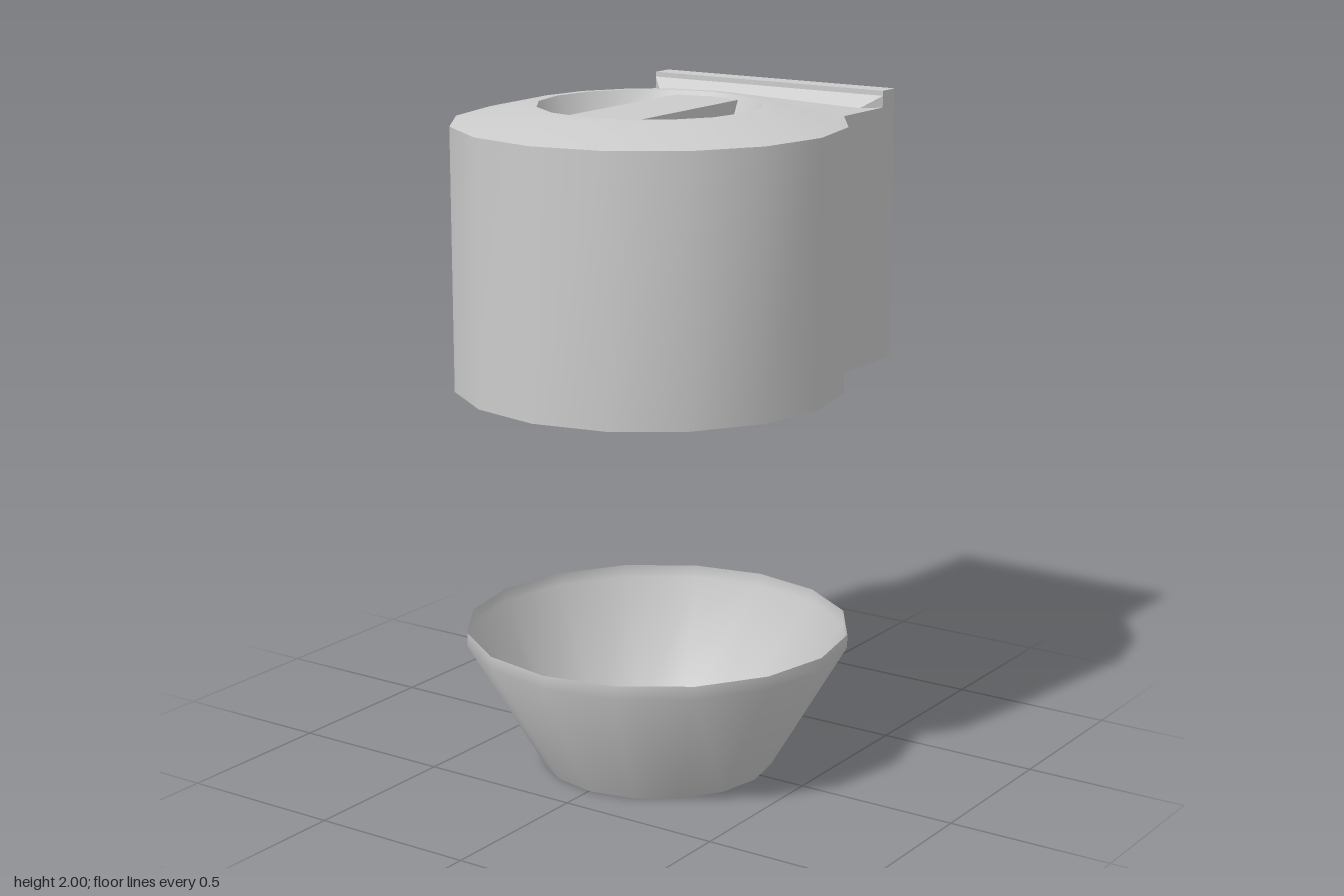
import * as THREE from 'three';
import { toCreasedNormals } from 'three/addons/utils/BufferGeometryUtils.js';
import { ConvexGeometry } from 'three/addons/geometries/ConvexGeometry.js';

const SIDES = 16;
const CX = -0.008, CZ = 0.06; // axis of the upper housing
const FLOOR = 1.93, DECK = 1.95, TOP = 2;

const material = new THREE.MeshStandardMaterial({ color: 0xcccccc });
const openMaterial = new THREE.MeshStandardMaterial({ color: 0xcccccc, side: THREE.DoubleSide });

function add(group, name, geometry, mat = material) {
  const mesh = new THREE.Mesh(geometry, mat);
  mesh.name = name;
  group.add(mesh);
  return mesh;
}

// Regular ring of points around the housing axis
function ring(r, y) {
  return Array.from({ length: SIDES }, (_, i) => {
    const a = (i / SIDES) * Math.PI * 2;
    return new THREE.Vector3(CX + r * Math.sin(a), y, CZ + r * Math.cos(a));
  });
}

// Round outline whose rear three points are pulled back into a square block
function outline(y, halfWidth, backZ) {
  const points = ring(0.577, y);
  [1, 0, -1].forEach((s, k) => points[7 + k].set(CX + s * halfWidth, y, backZ));
  return points;
}

// Skin consecutive rings, leaving out collapsed triangles
function loft(rings) {
  const out = [];
  const tri = (a, b, c) => {
    const area = b.clone().sub(a).cross(c.clone().sub(a)).length();
    if (area > 1e-7) for (const p of [a, b, c]) out.push(p.x, p.y, p.z);
  };
  for (let k = 0; k < rings.length - 1; k++) {
    const lo = rings[k], hi = rings[k + 1];
    for (let i = 0; i < SIDES; i++) {
      const j = (i + 1) % SIDES;
      tri(lo[i], lo[j], hi[j]);
      tri(lo[i], hi[j], hi[i]);
    }
  }
  const g = new THREE.BufferGeometry();
  g.setAttribute('position', new THREE.Float32BufferAttribute(out, 3));
  return toCreasedNormals(g, 0.5);
}

export function createModel() {
  const model = new THREE.Group();
  model.name = 'housingAndCup';

  // Upper housing: flat base, walls, sloping deck and round recess
  add(model, 'housing', loft([
    ring(0, 1.175),
    outline(1.175, 0.41, -0.64),
    outline(DECK, 0.41, -0.64),
    outline(DECK, 0.36, -0.52),
    ring(0.37, TOP - 0.003),
    ring(0.327, TOP),
    ring(0.292, FLOOR),
    ring(0, FLOOR),
  ]));

  // Grip bar across the recess, with pointed ends following its wall
  const barShape = new THREE.Shape([
    [-0.11, -0.297], [0, -0.319], [0.11, -0.297],
    [0.11, 0.297], [0, 0.319], [-0.11, 0.297],
  ].map(([x, y]) => new THREE.Vector2(x, y)));
  const barGeometry = new THREE.ExtrudeGeometry(barShape, { depth: 0.057, bevelEnabled: false });
  barGeometry.rotateX(-Math.PI / 2);
  add(model, 'gripBar', barGeometry).position.set(CX, FLOOR, CZ);

  // Raised ridge along the back edge
  add(model, 'backRidge', new THREE.BoxGeometry(0.82, TOP - DECK, 0.07))
    .position.set(CX, (TOP + DECK) / 2, -0.605);

  // Mitred chamfer at the foot of the ridge
  const chamfer = [];
  for (const s of [-1, 1]) {
    chamfer.push(
      new THREE.Vector3(CX + s * 0.41, DECK, -0.57),
      new THREE.Vector3(CX + s * 0.41, 1.985, -0.57),
      new THREE.Vector3(CX + s * 0.36, DECK, -0.52),
    );
  }
  add(model, 'ridgeChamfer', new ConvexGeometry(chamfer));

  // Lower open cup with a short upright rim
  const cupProfile = [[0, 0], [0.352, 0], [0.578, 0.39], [0.578, 0.43]]
    .map(([r, y]) => new THREE.Vector2(r, y));
  const cup = toCreasedNormals(new THREE.LatheGeometry(cupProfile, SIDES), 0.7);
  add(model, 'cup', cup, openMaterial).position.set(0.005, 0, 0.038);

  return model;
}
